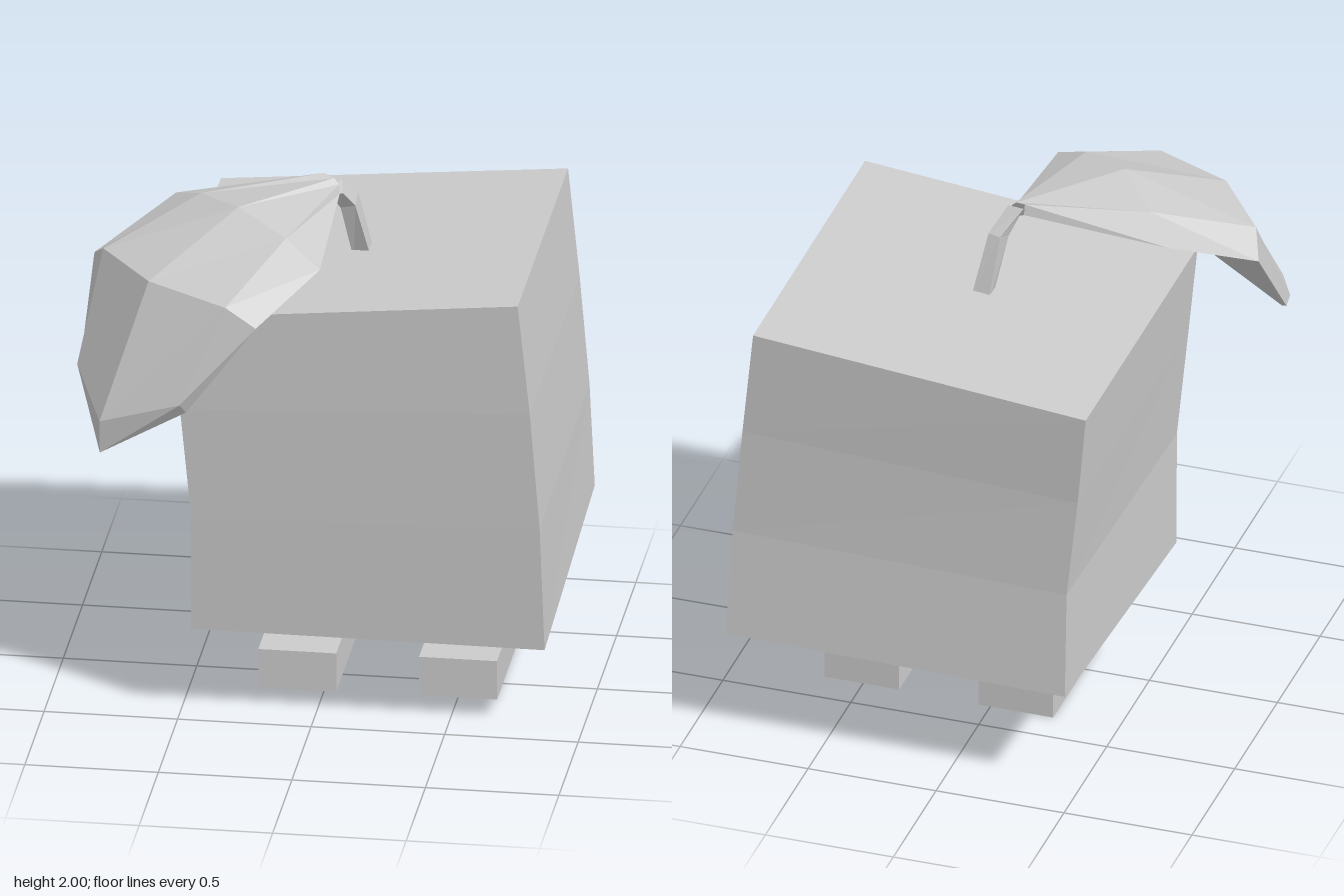
import * as THREE from 'three';

const material = new THREE.MeshStandardMaterial({ color: 0xcccccc, flatShading: true });

// Closed faceted solid through rings of equal point count, capped at both ends
function loft(rings) {
  const pos = [];
  const tri = (a, b, c) => pos.push(...a, ...b, ...c);
  const n = rings[0].length;
  for (let i = 0; i < rings.length - 1; i++) {
    for (let j = 0; j < n; j++) {
      const k = (j + 1) % n;
      const [a, b, c, d] = [rings[i][j], rings[i][k], rings[i + 1][k], rings[i + 1][j]];
      tri(a, b, c);
      tri(a, c, d);
    }
  }
  const first = rings[0], last = rings[rings.length - 1];
  for (let j = 1; j < n - 1; j++) {
    tri(first[0], first[j + 1], first[j]);
    tri(last[0], last[j], last[j + 1]);
  }
  const geometry = new THREE.BufferGeometry();
  geometry.setAttribute('position', new THREE.Float32BufferAttribute(pos, 3));
  geometry.computeVertexNormals();
  return geometry;
}

function add(group, name, geometry) {
  const mesh = new THREE.Mesh(geometry, material);
  mesh.name = name;
  group.add(mesh);
  return mesh;
}

// Four-cornered ring: front left, front right, back right, back left as seen from the front
const quad = (x0, x1, zFront, zBack, y) => [
  [x0, y[0], zFront], [x1, y[1], zFront], [x1, y[2], zBack], [x0, y[3], zBack],
];

export function createModel() {
  const group = new THREE.Group();

  // Slightly bent and tilted block body
  add(group, 'body', loft([
    quad(-0.46, 0.865, 0.435, -0.87, [0.34, 0.335, 0.44, 0.42]),
    quad(-0.455, 0.85, 0.457, -0.835, [0.8, 0.83, 0.87, 0.84]),
    quad(-0.495, 0.815, 0.472, -0.825, [1.24, 1.3, 1.3, 1.24]),
    quad(-0.53, 0.77, 0.475, -0.835, [1.61, 1.735, 1.73, 1.61]),
  ]));

  // L-shaped feet with the toes forward
  const profile = new THREE.Shape([
    [-0.365, 0], [0.165, 0], [0.165, 0.155], [-0.065, 0.155], [-0.075, 0.5], [-0.365, 0.5],
  ].map(([z, y]) => new THREE.Vector2(z, y)));
  const foot = new THREE.ExtrudeGeometry(profile, { depth: 0.292, bevelEnabled: false });
  foot.rotateY(-Math.PI / 2);
  add(group, 'rightFoot', foot).position.x = 0.046;
  add(group, 'leftFoot', foot).position.set(0.648, 0.006, 0);

  // Bent square stalk
  add(group, 'stalk', loft([
    [[0.07, 1.62, -0.13], [0.14, 1.62, -0.12], [0.14, 1.62, -0.19], [0.07, 1.62, -0.19]],
    [[0.03, 1.86, -0.06], [0.085, 1.87, -0.06], [0.085, 1.9, -0.13], [0.04, 1.89, -0.13]],
    [[0.0, 1.93, 0.0], [0.045, 1.94, -0.01], [0.035, 1.985, -0.05], [-0.03, 1.99, -0.065]],
  ]));

  // Drooping leaf; each ring runs underside, right rim, right, spine, left, left rim
  add(group, 'leaf', loft([
    [[0, 1.93, -0.02], [0.035, 1.94, 0], [0.03, 1.97, -0.02],
      [0.01, 1.99, -0.03], [-0.03, 2, -0.05], [-0.03, 1.96, -0.06]],
    [[-0.27, 1.84, 0.27], [0.04, 1.87, 0.55], [-0.1, 1.95, 0.46],
      [-0.3, 2, 0.31], [-0.47, 1.96, 0.11], [-0.58, 1.9, -0.02]],
    [[-0.5, 1.69, 0.52], [-0.16, 1.74, 0.83], [-0.28, 1.8, 0.79],
      [-0.59, 1.82, 0.63], [-0.8, 1.82, 0.35], [-0.85, 1.75, 0.23]],
    [[-0.745, 1.2, 0.82], [-0.42, 1.39, 0.84], [-0.44, 1.43, 0.87],
      [-0.745, 1.33, 0.83], [-0.87, 1.43, 0.54], [-0.865, 1.4, 0.51]],
  ]));

  return group;
}
